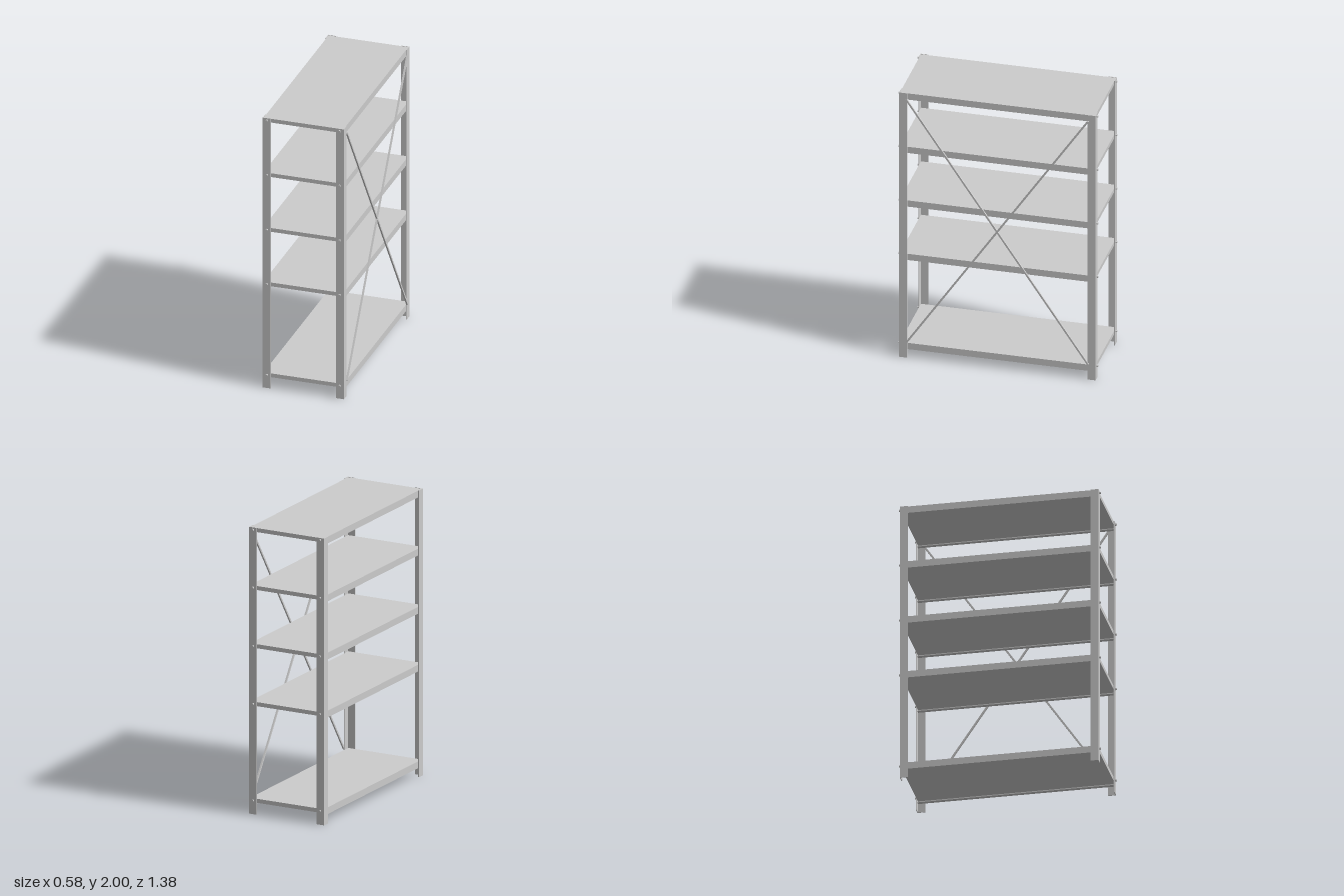
import * as THREE from 'three';

const material = new THREE.MeshStandardMaterial({ color: 0xcccccc, flatShading: true });

const X0 = -0.291, X1 = 0.283;         // outer faces of the posts
const CX = (X0 + X1) / 2, HX = (X1 - X0) / 2, HZ = 0.679;
const T = 0.005;                       // sheet thickness
const FLANGE_X = 0.057, FLANGE_Z = 0.056;
const SHELF_TOPS = [0.11, 0.784, 1.188, 1.594, 1.998];

function add(parent, name, geometry, x, y, z) {
  const mesh = new THREE.Mesh(geometry, material);
  mesh.name = name;
  mesh.position.set(x, y, z);
  parent.add(mesh);
  return mesh;
}

function box(parent, name, w, h, d, x, y, z) {
  return add(parent, name, new THREE.BoxGeometry(w, h, d), x, y, z);
}

// L-section upright with its corner at the outside
function createPost(sx, sz) {
  const shape = new THREE.Shape([
    [0, 0], [FLANGE_X, 0], [FLANGE_X, T], [T, T], [T, FLANGE_Z], [0, FLANGE_Z],
  ].map(([x, z]) => new THREE.Vector2(sx * (HX - x), -sz * (HZ - z))));
  const geometry = new THREE.ExtrudeGeometry(shape, { depth: 2, bevelEnabled: false });
  geometry.rotateX(-Math.PI / 2);
  const post = new THREE.Mesh(geometry, material);
  post.name = 'post';
  post.position.x = CX;
  return post;
}

// Closed shelf board with deeper long sides, each folded into a thin inward lip
function createShelf() {
  const shelf = new THREE.Group();
  shelf.name = 'shelf';
  const hx = HX - T, hz = HZ - T;
  const boardH = 0.028, sideH = 0.047, sideT = 0.003, lip = 0.025, lipT = 0.001;
  box(shelf, 'shelfBoard', hx * 2, boardH, hz * 2, 0, -boardH / 2, 0);
  for (const s of [-1, 1]) {
    box(shelf, 'longSide', sideT, sideH - boardH, hz * 2,
      s * (hx - sideT / 2), -(sideH + boardH) / 2, 0);
    box(shelf, 'longLip', lip, lipT, hz * 2, s * (hx - sideT - lip / 2), -sideH + lipT / 2, 0);
  }
  return shelf;
}

export function createModel() {
  const model = new THREE.Group();
  model.name = 'shelvingRack';

  for (const sx of [-1, 1]) for (const sz of [-1, 1]) model.add(createPost(sx, sz));

  // Shelves, each bolted through the posts at both ends
  const boltGeometry = new THREE.CylinderGeometry(0.008, 0.008, 0.012, 6).rotateX(Math.PI / 2);
  for (const y of SHELF_TOPS) {
    const shelf = createShelf();
    shelf.position.set(CX, y, 0);
    model.add(shelf);
    for (const sx of [-1, 1]) for (const sz of [-1, 1]) {
      add(model, 'bolt', boltGeometry, CX + sx * (HX - 0.03), y - 0.014, sz * (HZ + 0.005));
    }
  }

  // Crossed braces along one long side
  const low = 0.115, high = 1.955, reach = 0.628;
  const length = Math.hypot(high - low, reach * 2);
  const angle = Math.atan2(reach * 2, high - low);
  for (const s of [-1, 1]) {
    const brace = box(model, 'crossBrace', 0.011, length, 0.012, 0.2855, (low + high) / 2, 0);
    brace.rotation.x = s * angle;
  }

  return model;
}
